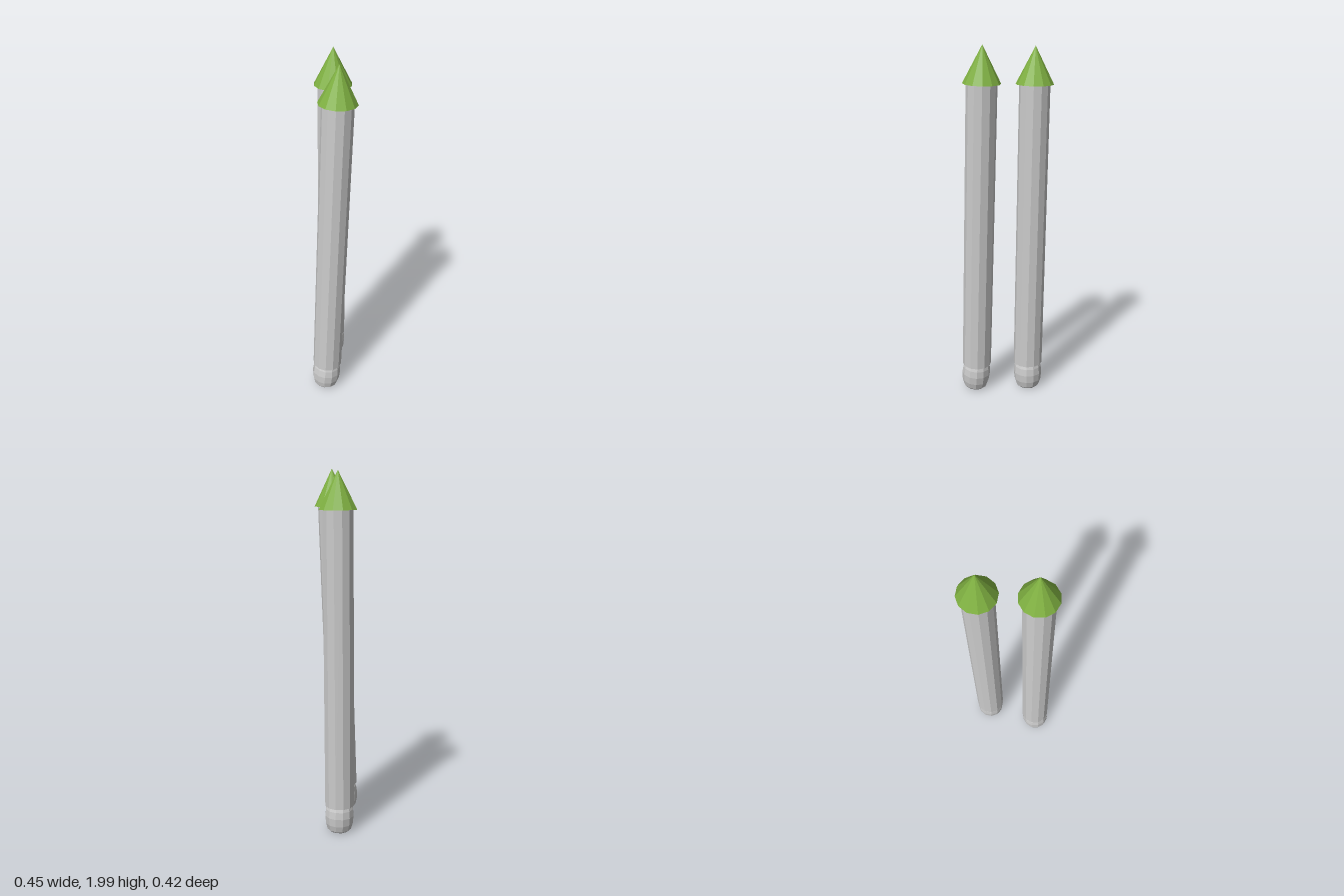
import * as THREE from 'three';

const SIDES = 12;
const grey = new THREE.MeshStandardMaterial({ color: 0xcccccc, flatShading: true });
const greyOpen = new THREE.MeshStandardMaterial({ color: 0xcccccc, flatShading: true, side: THREE.DoubleSide });
const green = new THREE.MeshStandardMaterial({ color: 0x7fb041, flatShading: true });

function part(name, geometry, material, y) {
  const mesh = new THREE.Mesh(geometry, material);
  mesh.name = name;
  mesh.position.y = y;
  return mesh;
}

// One rocket standing on `base`, its axis pointing at `tip`
function makeRocket(name, base, tip, spin, nozzleTilt) {
  const rocket = new THREE.Group();
  rocket.name = name;
  const axis = tip.clone().sub(base);
  const length = axis.length();
  const noseHeight = 0.198, tubeStart = 0.152;
  const tubeLength = length - noseHeight - tubeStart;

  // Long body tube and pointed nose
  rocket.add(part('bodyTube', new THREE.CylinderGeometry(0.083, 0.083, tubeLength, SIDES), grey, tubeStart + tubeLength / 2));
  rocket.add(part('noseCone', new THREE.ConeGeometry(0.102, noseHeight, SIDES), green, length - noseHeight / 2));

  // Rounded hollow nozzle: inner wall, rim, then bulging outer wall
  const profile = [
    [0, 0.07], [0.045, 0.07], [0.045, 0.005], [0.058, 0], [0.068, 0.01],
    [0.078, 0.045], [0.082, 0.09], [0.078, 0.13], [0.07, 0.155],
  ].map(([r, y]) => new THREE.Vector2(r, y - tubeStart));
  const nozzle = part('nozzle', new THREE.LatheGeometry(profile, SIDES), greyOpen, tubeStart);
  const pivot = new THREE.Quaternion().setFromAxisAngle(new THREE.Vector3(0, 0, 1), nozzleTilt);
  const spinTurn = new THREE.Quaternion().setFromAxisAngle(new THREE.Vector3(0, 1, 0), spin);
  nozzle.quaternion.copy(spinTurn.clone().invert()).multiply(pivot).multiply(spinTurn);
  rocket.add(nozzle);

  // Spin about its own axis, then lean
  rocket.quaternion
    .setFromUnitVectors(new THREE.Vector3(0, 1, 0), axis.normalize())
    .multiply(spinTurn);
  rocket.position.copy(base);
  return rocket;
}

export function createModel() {
  const model = new THREE.Group();
  model.name = 'rocketPair';
  const v = (x, y, z) => new THREE.Vector3(x, y, z);
  model.add(makeRocket('rightRocket', v(-0.144, 0.012, 0.085), v(-0.066, 2, 0.106), 0.12, -0.06));
  model.add(makeRocket('leftRocket', v(0.096, 0.006, -0.102), v(0.122, 1.988, -0.112), -0.05, 0.02));
  return model;
}
